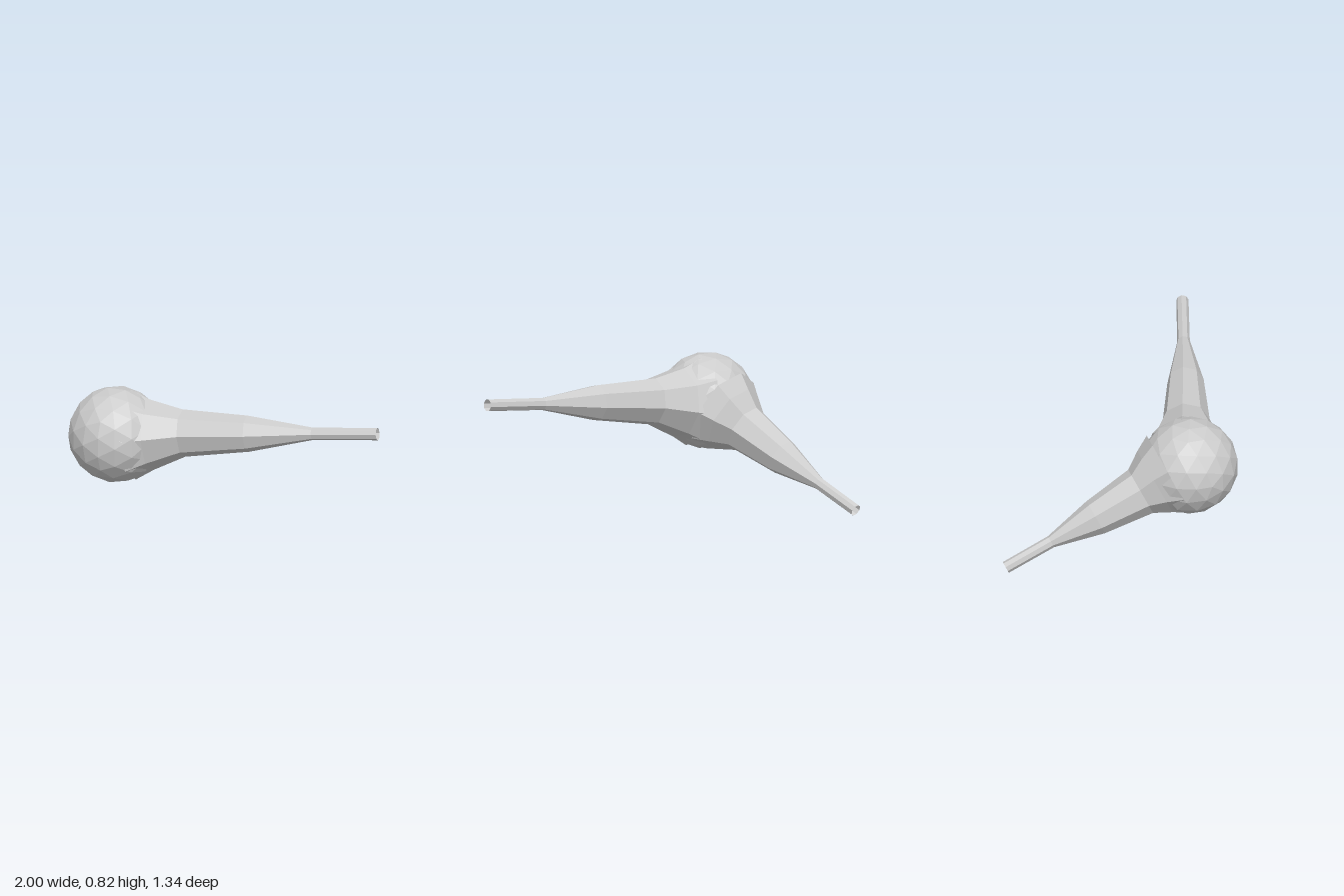
import * as THREE from 'three';

const SIDES = 8;

// Open faceted tube through stations [x, y, z, radius]; rings are square to the overall axis.
function taperedArm(stations, phase) {
  const points = stations.map(([x, y, z]) => new THREE.Vector3(x, y, z));
  const axis = points[points.length - 1].clone().sub(points[0]).normalize();
  const across = new THREE.Vector3().crossVectors(axis, new THREE.Vector3(0, 1, 0)).normalize();
  const up = new THREE.Vector3().crossVectors(across, axis);
  const positions = [];
  const index = [];
  points.forEach((p, i) => {
    const r = stations[i][3];
    for (let j = 0; j < SIDES; j++) {
      const a = phase + (j / SIDES) * Math.PI * 2;
      const v = p.clone().addScaledVector(across, r * Math.cos(a)).addScaledVector(up, r * Math.sin(a));
      positions.push(v.x, v.y, v.z);
      if (i === 0) continue;
      const k = (j + 1) % SIDES;
      const a0 = (i - 1) * SIDES + j, b0 = (i - 1) * SIDES + k;
      const a1 = i * SIDES + j, b1 = i * SIDES + k;
      index.push(a0, b1, b0, a0, a1, b1);
    }
  });
  const geometry = new THREE.BufferGeometry();
  geometry.setAttribute('position', new THREE.Float32BufferAttribute(positions, 3));
  geometry.setIndex(index);
  const flat = geometry.toNonIndexed();
  flat.computeVertexNormals();
  return flat;
}

export function createModel() {
  const group = new THREE.Group();
  const material = new THREE.MeshStandardMaterial({
    color: 0xcccccc, flatShading: true, side: THREE.DoubleSide,
  });
  const add = (name, geometry) => {
    const mesh = new THREE.Mesh(geometry, material);
    mesh.name = name;
    group.add(mesh);
    return mesh;
  };

  // Faceted ball where the two arms meet
  add('ball', new THREE.IcosahedronGeometry(0.283, 2)).position.set(-0.59, 0.55, 0.39);

  // Long arm running to the left side
  add('longArm', taperedArm([
    [-0.49, 0.555, 0.375, 0.265],
    [-0.38, 0.565, 0.36, 0.208],
    [-0.185, 0.595, 0.34, 0.14],
    [0.21, 0.635, 0.31, 0.107],
    [0.6, 0.675, 0.272, 0.037],
    [0.997, 0.715, 0.238, 0.036],
  ], THREE.MathUtils.degToRad(8)));

  // Shorter arm running down to the back
  add('shortArm', taperedArm([
    [-0.625, 0.505, 0.27, 0.258],
    [-0.65, 0.465, 0.19, 0.205],
    [-0.687, 0.418, 0.11, 0.145],
    [-0.778, 0.287, -0.145, 0.108],
    [-0.87, 0.165, -0.4, 0.037],
    [-0.967, 0.038, -0.657, 0.036],
  ], THREE.MathUtils.degToRad(8)));

  return group;
}
